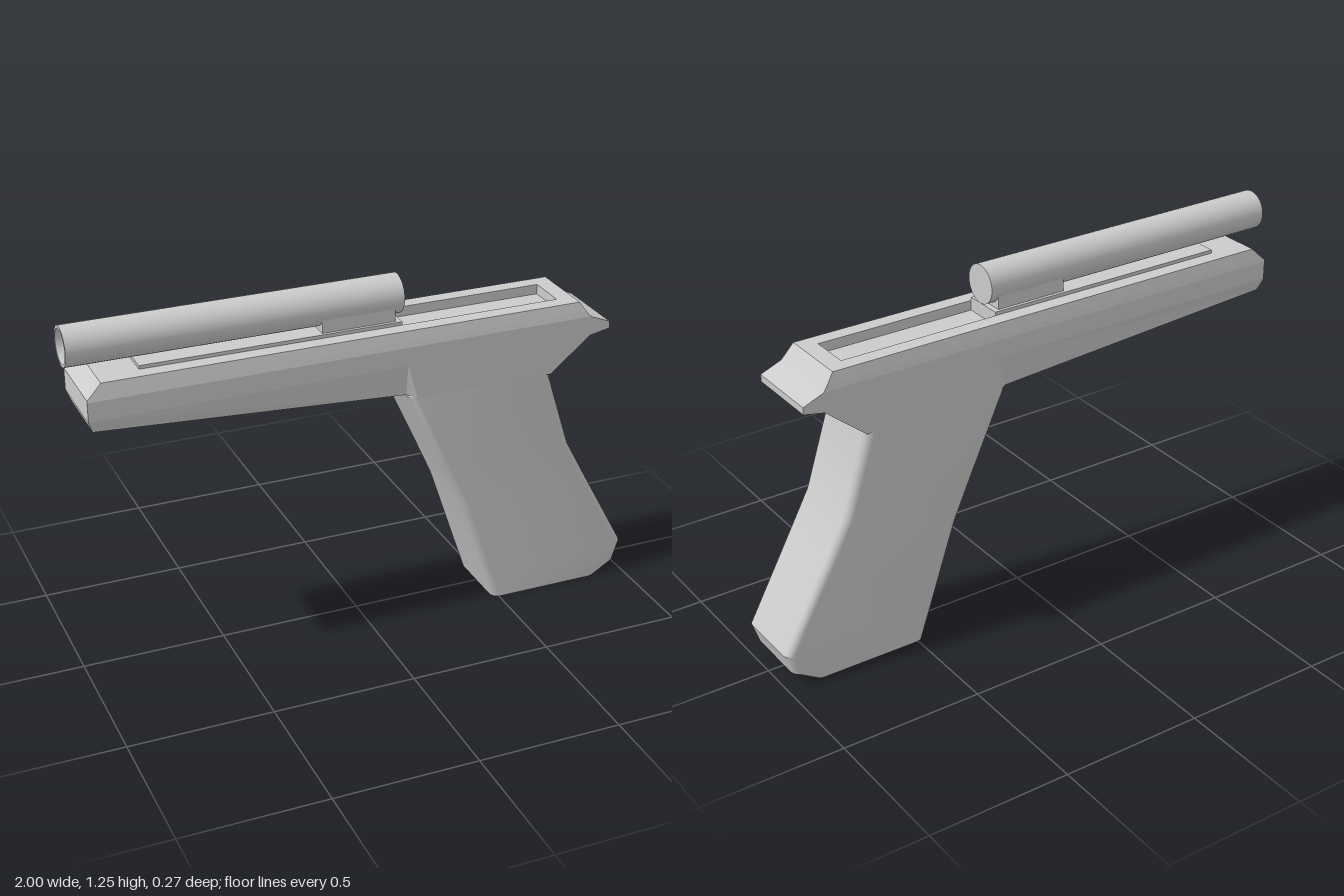
import * as THREE from 'three';
import { toCreasedNormals } from 'three/addons/utils/BufferGeometryUtils.js';

const material = new THREE.MeshStandardMaterial({ color: 0xcccccc });
const tubeMaterial = new THREE.MeshStandardMaterial({ color: 0xcccccc, side: THREE.DoubleSide });

// Skins a list of equal-length rings and closes both ends
function loft(rings, crease) {
  const pos = [];
  const tri = (a, b, c) => pos.push(...a, ...b, ...c);
  const n = rings[0].length;
  for (let j = 0; j < rings.length - 1; j++) {
    for (let i = 0; i < n; i++) {
      const k = (i + 1) % n;
      const [a, b, c, d] = [rings[j][i], rings[j][k], rings[j + 1][k], rings[j + 1][i]];
      tri(a, b, c);
      tri(a, c, d);
    }
  }
  const cap = (ring, flip) => {
    const mid = [0, 1, 2].map((m) => ring.reduce((s, p) => s + p[m], 0) / n);
    ring.forEach((p, i) => {
      const q = ring[(i + 1) % n];
      flip ? tri(mid, q, p) : tri(mid, p, q);
    });
  };
  cap(rings[0], true);
  cap(rings[rings.length - 1], false);
  const g = new THREE.BufferGeometry();
  g.setAttribute('position', new THREE.Float32BufferAttribute(pos, 3));
  g.computeVertexNormals();
  return toCreasedNormals(g, crease);
}

// Eight-sided body section: top edge, vertical flank, tapered underside
function bodyRing([x, top, high, low, bottom, topZ, bottomZ]) {
  const half = [[top, topZ], [high, 0.137], [low, 0.137], [bottom, bottomZ]];
  const right = half.map(([y, z]) => [x, y, z]);
  const left = half.map(([y, z]) => [x, y, -z]).reverse();
  return [...right, ...left];
}

// Rounded rectangle lying flat at height y
function gripRing([y, front, back]) {
  const r = 0.03, w = 0.136, steps = 4, ring = [];
  const corners = [[back - r, w - r], [back - r, r - w], [front + r, r - w], [front + r, w - r]];
  corners.forEach(([cx, cz], q) => {
    for (let s = 0; s <= steps; s++) {
      const t = (q + s / steps) * Math.PI / 2;
      ring.push([cx + r * Math.sin(t), y, cz + r * Math.cos(t)]);
    }
  });
  return ring;
}

export function createModel() {
  const model = new THREE.Group();
  model.name = 'pistol';
  const add = (name, geometry, mat = material) => {
    const mesh = new THREE.Mesh(geometry, mat);
    mesh.name = name;
    model.add(mesh);
    return mesh;
  };
  const box = (name, x0, x1, y0, y1, halfZ) =>
    add(name, new THREE.BoxGeometry(x1 - x0, y1 - y0, 2 * halfZ))
      .position.set((x0 + x1) / 2, (y0 + y1) / 2, 0);

  // Body up to the slot floor, with the tail lip at the back
  const floorY = 1.06;
  add('body', loft([
    [-0.96, 1.047, 1.04, 0.975, 0.97, 0.135, 0.136],
    [-0.945, floorY, 1.04, 0.975, 0.93, 0.133, 0.122],
    [0.13, floorY, 1.04, 0.975, 0.862, 0.133, 0.12],
    [0.165, floorY, 1.04, 0.975, 0.85, 0.133, 0.137],
    [0.665, floorY, 1.04, 0.975, 0.85, 0.133, 0.137],
    [0.795, floorY, 1.04, 0.975, 0.957, 0.133, 0.137],
    [0.81, 1.04, 1.035, 0.975, 0.97, 0.137, 0.137],
    [0.885, 1.01, 1.008, 0.987, 0.985, 0.137, 0.137],
  ].map(bodyRing), 0.1));

  // Top frame: a plate with a slot, its outer edge flaring downward
  const topY = 1.095;
  const rect = (path, x0, x1, z) =>
    path.moveTo(x0, -z).lineTo(x1, -z).lineTo(x1, z).lineTo(x0, z).closePath();
  const plate = new THREE.Shape();
  rect(plate, -0.91, 0.77, 0.125);
  const slot = new THREE.Path();
  rect(slot, -0.77, 0.71, 0.072);
  plate.holes.push(slot);
  const frame = new THREE.ExtrudeGeometry(plate, { depth: topY - floorY, bevelEnabled: false });
  frame.rotateX(-Math.PI / 2).translate(0, floorY, 0);
  const p = frame.attributes.position;
  for (let i = 0; i < p.count; i++) {
    const outer = Math.abs(p.getZ(i)) > 0.1;
    if (outer && p.getY(i) < floorY + 0.01) {
      p.setX(i, p.getX(i) < 0 ? -0.945 : 0.795);
      p.setZ(i, Math.sign(p.getZ(i)) * 0.133);
    }
  }
  frame.computeVertexNormals();
  add('topFrame', frame);

  // Slanted grip with rounded edges and a chamfered heel
  add('grip', loft([
    [0, 0.475, 0.895],
    [0.045, 0.46, 0.97],
    [0.12, 0.434, 0.995],
    [0.42, 0.333, 0.832],
    [0.56, 0.27, 0.757],
    [0.85, 0.137, 0.665],
    [0.9, 0.15, 0.66],
  ].map(gripRing), 0.45));

  // Slide rail in the slot and the block carrying the tube
  box('slideRail', -0.77, 0.135, floorY, 1.107, 0.0715);
  box('tubeMount', -0.145, 0.115, 1.1, 1.155, 0.06);

  // Sighting tube: open at the muzzle end, closed at the back
  const profile = [[0, 1.145], [0.068, 1.145], [0.068, 0], [0.058, 0], [0.058, 1.1], [0, 1.1]]
    .map(([r, h]) => new THREE.Vector2(r, -h)).reverse();
  const tube = toCreasedNormals(new THREE.LatheGeometry(profile, 32).toNonIndexed(), 0.5);
  tube.rotateZ(Math.PI / 2).translate(-1, 1.183, 0);
  add('sightTube', tube, tubeMaterial);

  return model;
}
